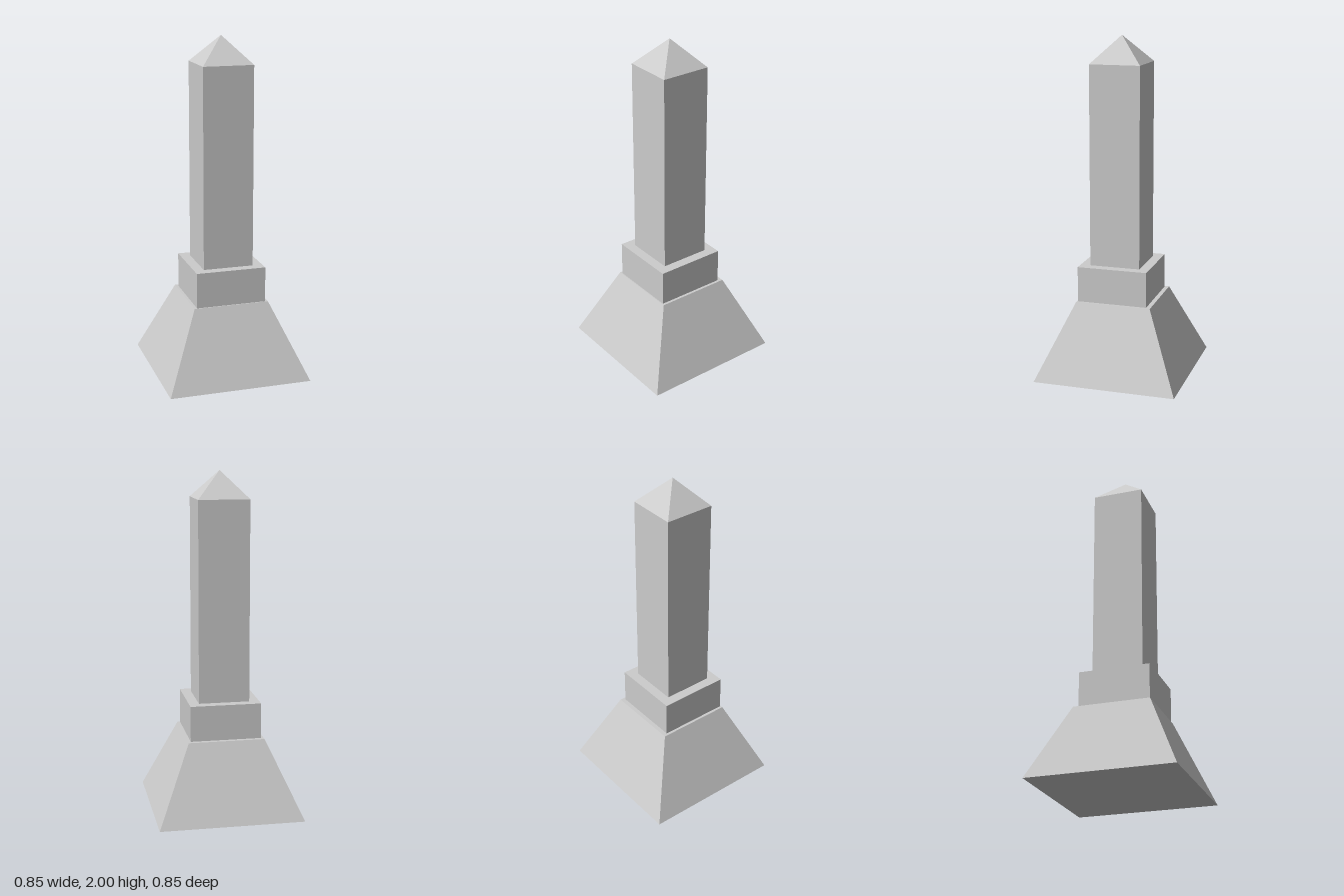
import * as THREE from 'three';

const material = new THREE.MeshStandardMaterial({ color: 0xcccccc, flatShading: true });

// Square tapered block between two heights, given its half-widths
function squareBlock(name, halfBottom, halfTop, y0, y1, z = 0) {
  const geometry = new THREE.CylinderGeometry(
    halfTop * Math.SQRT2, halfBottom * Math.SQRT2, y1 - y0, 4, 1, false, Math.PI / 4);
  const mesh = new THREE.Mesh(geometry, material);
  mesh.name = name;
  mesh.position.set(0, (y0 + y1) / 2, z);
  return mesh;
}

export function createModel() {
  const group = new THREE.Group();
  group.name = 'obelisk';
  const offset = 0.01; // upper parts sit slightly forward of the base

  group.add(
    squareBlock('slopedBase', 0.425, 0.225, 0, 0.45),
    squareBlock('plinth', 0.209, 0.209, 0.45, 0.66, offset),
    squareBlock('shaft', 0.15, 0.15, 0.66, 1.842, offset),
    squareBlock('pyramidCap', 0.15, 0, 1.842, 2, offset),
  );
  return group;
}
